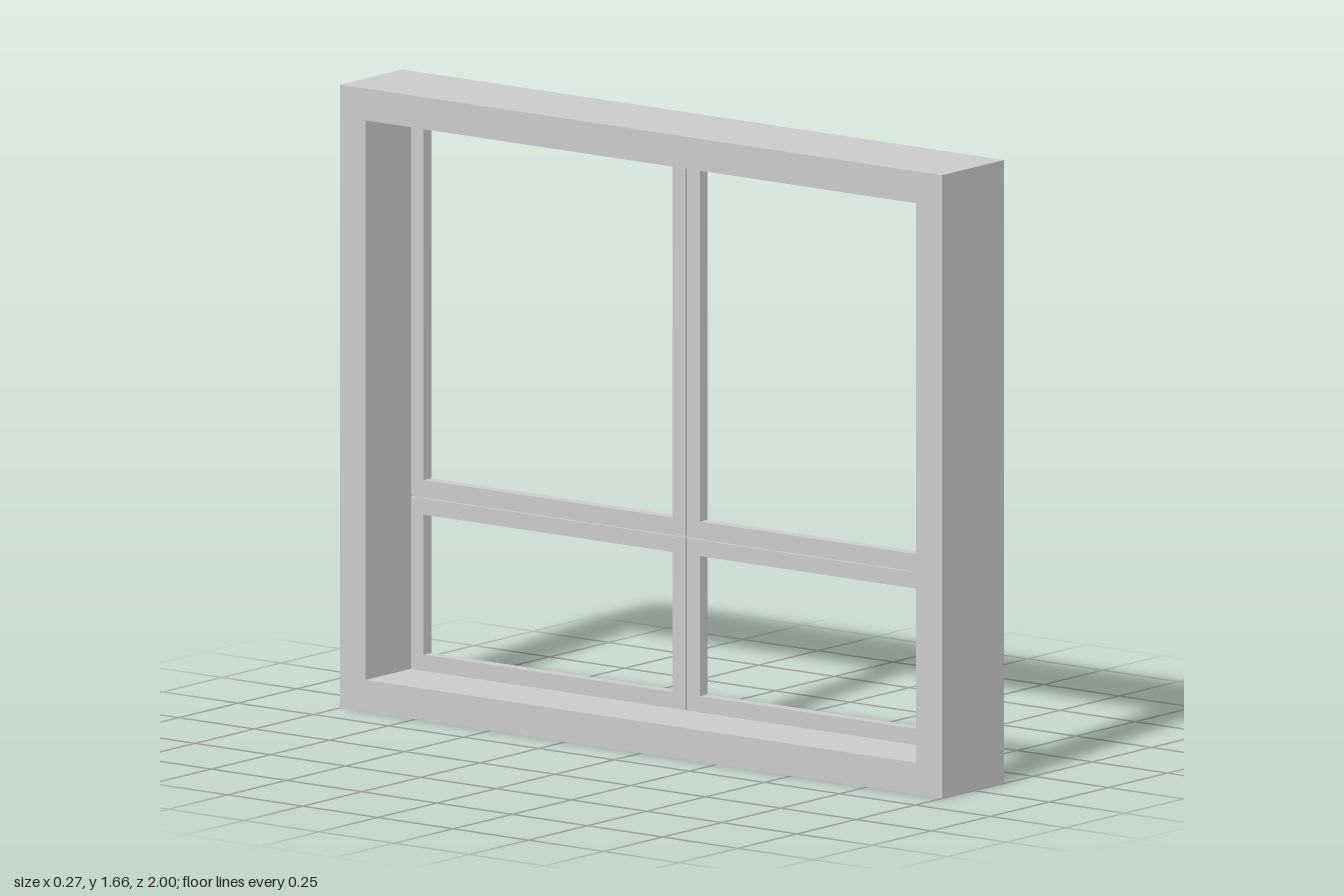
import * as THREE from 'three';

const material = new THREE.MeshStandardMaterial({ color: 0xcccccc, flatShading: true });

// Sweeps a closed [inset, x] section around a rectangle in the z-y plane, with mitred corners.
// The section runs from the back outer edge to the front, then inward and back again.
function mitredRing(name, [z0, z1], [y0, y1], section) {
  const corner = (k, [inset, x]) => [
    x,
    k < 2 ? y0 + inset : y1 - inset,
    k === 0 || k === 3 ? z1 - inset : z0 + inset,
  ];
  const positions = [];
  for (let k = 0; k < 4; k++) {
    const next = (k + 1) % 4;
    section.forEach((p, i) => {
      const q = section[(i + 1) % section.length];
      const a = corner(k, p), b = corner(next, p), c = corner(next, q), d = corner(k, q);
      positions.push(...a, ...b, ...c, ...a, ...c, ...d);
    });
  }
  const geometry = new THREE.BufferGeometry();
  geometry.setAttribute('position', new THREE.Float32BufferAttribute(positions, 3));
  geometry.computeVertexNormals();
  const mesh = new THREE.Mesh(geometry, material);
  mesh.name = name;
  return mesh;
}

export function createModel() {
  const group = new THREE.Group();
  group.name = 'window';
  const height = 1.66;

  // Deep outer frame
  group.add(mitredRing('outerFrame', [-1, 1], [0, height], [
    [0, -0.137], [0, 0.12], [0.085, 0.12], [0.085, -0.137],
  ]));

  // Bevelled moulding on the exterior face
  group.add(mitredRing('frontMoulding', [-1, 1], [0, height], [
    [0, 0.12], [0, 0.127], [0.008, 0.129], [0.028, 0.137], [0.045, 0.137],
    [0.062, 0.131], [0.068, 0.129], [0.068, 0.12],
  ]));

  // Four slim sashes: tall pair above, short pair below, with fine gaps between
  const border = 0.043, back = 0.055, front = 0.087, gap = 0.003, middle = 0.547;
  const sashSection = [[0, back], [0, front], [border, front], [border, back]];
  const rows = { lower: [0.085, middle - gap], upper: [middle + gap, height - 0.085] };
  for (const [row, ySpan] of Object.entries(rows)) {
    group.add(mitredRing(row + 'SashNear', [gap, 0.915], ySpan, sashSection));
    group.add(mitredRing(row + 'SashFar', [-0.915, -gap], ySpan, sashSection));
  }

  // Recessed strips closing the gaps between sashes
  const strip = (name, h, d, y) => {
    const mesh = new THREE.Mesh(new THREE.BoxGeometry(0.016, h, d), material);
    mesh.name = name;
    mesh.position.set((back + front) / 2, y, 0);
    group.add(mesh);
  };
  strip('transomStrip', 2 * gap, 1.83, middle);
  strip('mullionStrip', height - 0.17, 2 * gap, height / 2);

  return group;
}
